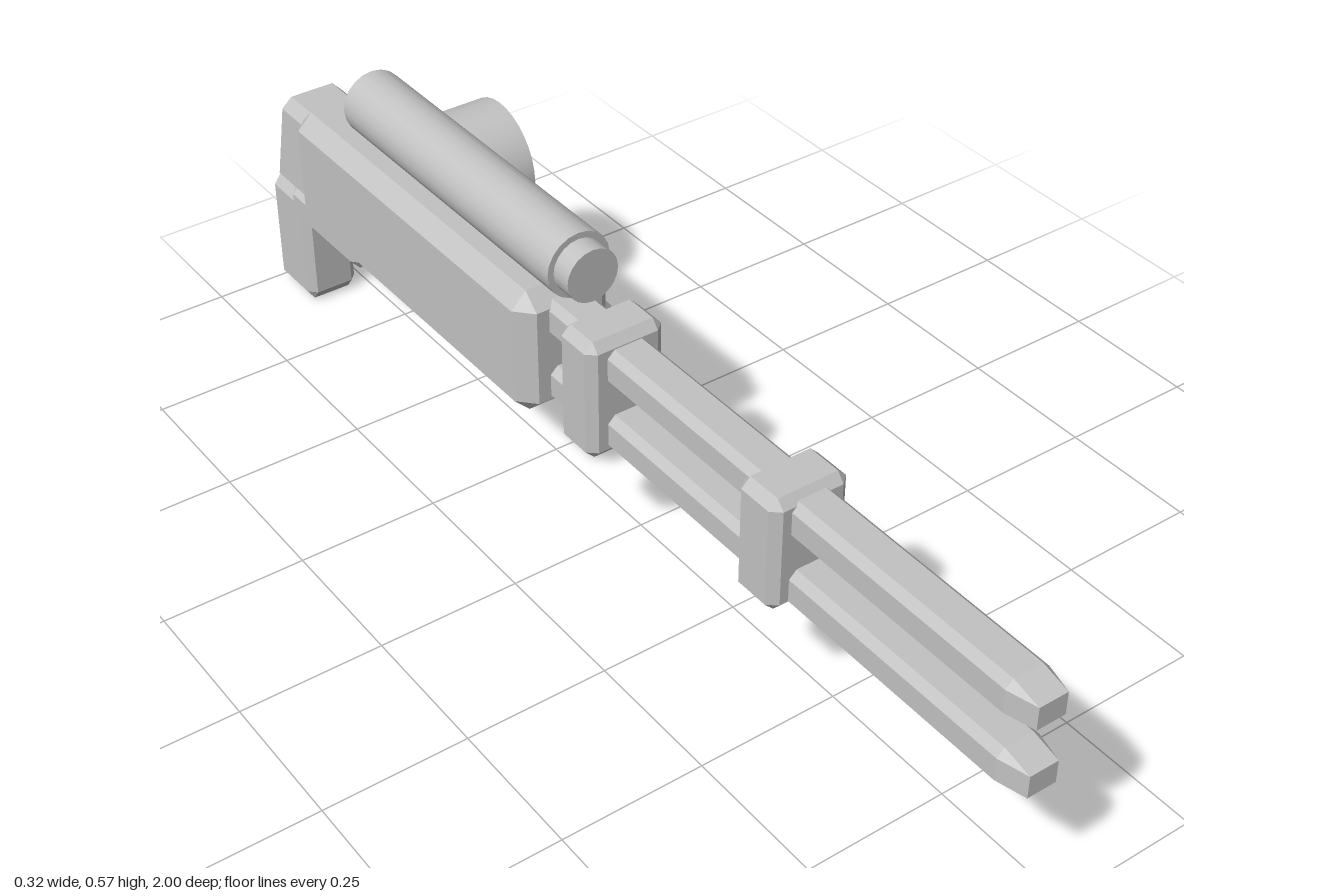
import * as THREE from 'three';
import { ConvexGeometry } from 'three/addons/geometries/ConvexGeometry.js';

const AXIS = -0.073; // the weapon's own centre line in x

export function createModel() {
  const group = new THREE.Group();
  const grey = new THREE.MeshStandardMaterial({ color: 0xc2c2c2 });
  grey.name = 'plain grey';

  const add = (name, geometry) => {
    const mesh = new THREE.Mesh(geometry, grey);
    mesh.name = name;
    group.add(mesh);
    return mesh;
  };

  // Box on the centre line with every edge and corner chamfered; warp may move the corners
  const chamferBox = (name, width, [y0, y1], [z0, z1], [cx, cy, cz], warp = (p) => p) => {
    const X = width / 2, Y = (y1 - y0) / 2, Z = (z1 - z0) / 2;
    const points = [];
    for (const sx of [-1, 1]) for (const sy of [-1, 1]) for (const sz of [-1, 1]) {
      for (const [x, y, z] of [[X, Y - cy, Z - cz], [X - cx, Y, Z - cz], [X - cx, Y - cy, Z]]) {
        points.push(warp(new THREE.Vector3(
          AXIS + sx * x, (y0 + y1) / 2 + sy * y, (z0 + z1) / 2 + sz * z)));
      }
    }
    return add(name, new ConvexGeometry(points));
  };

  // Cylinder lying along z
  const rodZ = (name, x, y, radius, z0, z1, sides = 20) => {
    const geometry = new THREE.CylinderGeometry(radius, radius, z1 - z0, sides);
    geometry.rotateX(Math.PI / 2).translate(x, y, (z0 + z1) / 2);
    return add(name, geometry);
  };

  // Receiver
  chamferBox('receiver', 0.179, [0.228, 0.459], [-0.82, -0.09], [0.028, 0.028, 0.03]);

  // Twin barrels with tapered muzzles
  for (const [name, y] of [['upperBarrel', 0.408], ['lowerBarrel', 0.284]]) {
    chamferBox(name, 0.077, [y - 0.033, y + 0.033], [-0.16, 1], [0.013, 0.013, 0.05]);
  }

  // Bands clamping the barrels
  chamferBox('frontBand', 0.14, [0.247, 0.452], [0.425, 0.515], [0.016, 0.016, 0.014]);
  chamferBox('rearBand', 0.144, [0.239, 0.459], [-0.02, 0.068], [0.016, 0.016, 0.014]);

  // Sight tube with a narrower front lens
  rodZ('sightTube', AXIS, 0.515, 0.058, -0.675, -0.062);
  rodZ('sightLens', AXIS, 0.515, 0.047, -0.07, -0.024);

  // Drum on the left side
  const drum = new THREE.CylinderGeometry(0.107, 0.107, 0.17, 32);
  drum.rotateZ(Math.PI / 2).translate(0.075, 0.34, -0.645);
  add('drum', drum);

  // Side lever: grip with collars, thin rod and knob
  const leverX = 0.034, leverY = 0.306;
  rodZ('leverGrip', leverX, leverY, 0.028, -0.465, -0.17);
  rodZ('leverRearCollar', leverX, leverY, 0.033, -0.468, -0.4);
  rodZ('leverFrontCollar', leverX, leverY, 0.033, -0.195, -0.17);
  rodZ('leverRod', leverX, leverY, 0.016, -0.18, -0.09);
  rodZ('leverKnob', leverX, leverY, 0.033, -0.1, -0.05);

  // Rear housing, narrowing towards its top
  chamferBox('rearHousing', 0.135, [0.25, 0.432], [-0.945, -0.76], [0.02, 0.02, 0.015], (p) => {
    const t = (p.y - 0.25) / 0.182;
    p.x = AXIS + (p.x - AXIS) * (1 - 0.13 * t);
    if (p.z < -0.85) p.z += 0.03 * t;
    return p;
  });

  // Underside block and hand grip
  chamferBox('undersideBlock', 0.13, [0.187, 0.265], [-0.905, -0.665], [0.018, 0.02, 0.02]);
  chamferBox('handGrip', 0.1, [0, 0.23], [-1, -0.88], [0.014, 0.02, 0.015]);

  return group;
}
